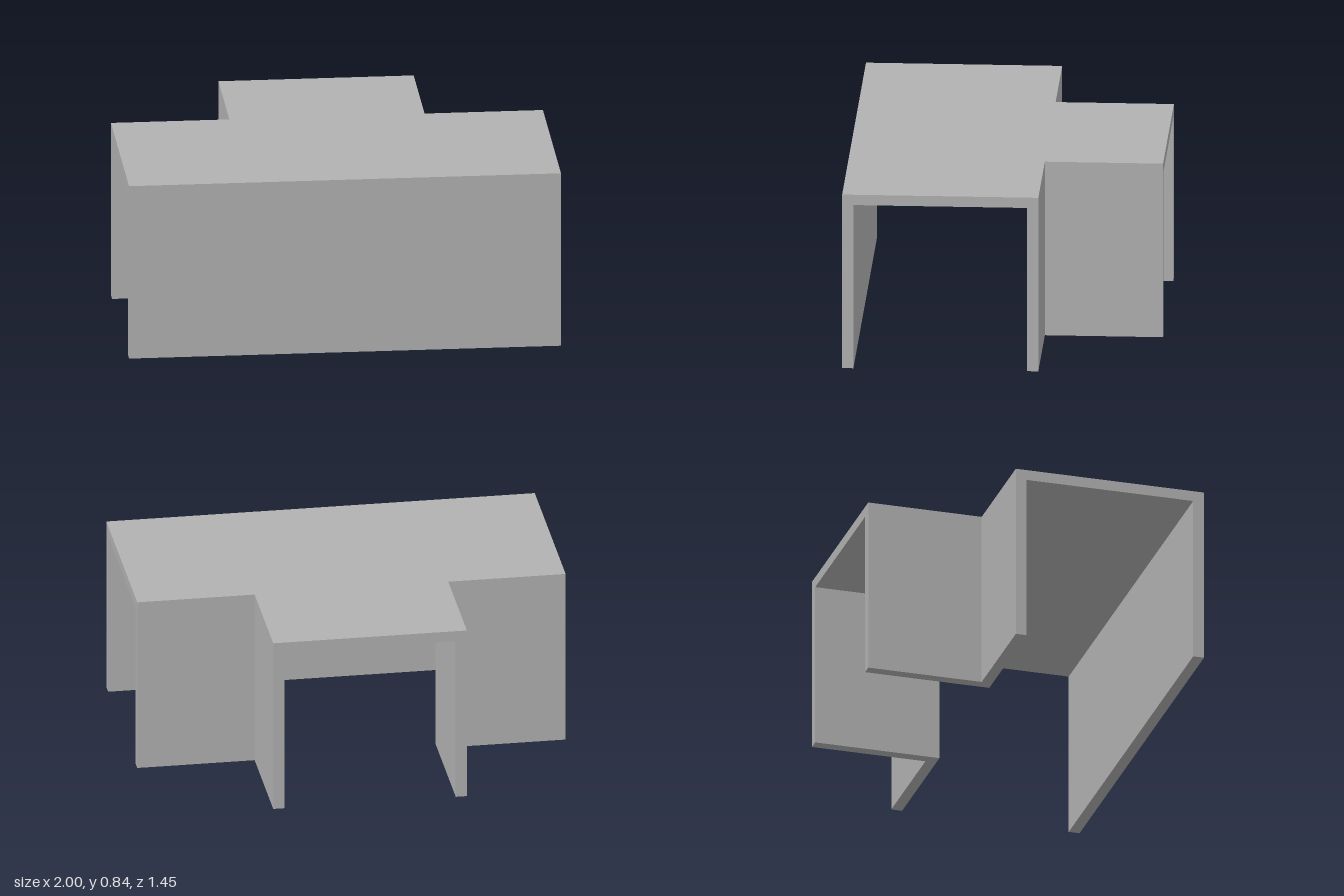
import * as THREE from 'three';

const HEIGHT = 0.84, UNDERSIDE = 0.79, WALL = 0.052;
const FRONT = 0.726, STEP = -0.18, BACK = -0.726, STEM = 0.452;

// Raises a floor-plan outline of [x, z] points from y0 to y1
function raisePlan(points, y0, y1) {
  const shape = new THREE.Shape(points.map(([x, z]) => new THREE.Vector2(x, -z)));
  const geometry = new THREE.ExtrudeGeometry(shape, { depth: y1 - y0, bevelEnabled: false });
  return geometry.rotateX(-Math.PI / 2).translate(0, y0, 0);
}

export function createModel() {
  const group = new THREE.Group();
  group.name = 'teeJunctionCover';
  const grey = new THREE.MeshStandardMaterial({ color: 0xb2b2b2 });
  grey.name = 'grey';

  const add = (name, points, y0, y1) => {
    const mesh = new THREE.Mesh(raisePlan(points, y0, y1), grey);
    mesh.name = name;
    group.add(mesh);
  };

  // T-shaped top plate
  add('topPlate', [
    [-1, FRONT], [1, FRONT], [1, STEP], [STEM, STEP],
    [STEM, BACK], [-STEM, BACK], [-STEM, STEP], [-1, STEP],
  ], UNDERSIDE, HEIGHT);

  // Long straight wall along the front
  add('frontWall', [
    [-1, FRONT], [1, FRONT], [1, FRONT - WALL], [-1, FRONT - WALL],
  ], 0, UNDERSIDE);

  // L-shaped corner walls either side of the rear branch
  for (const [name, s] of [['leftCornerWall', 1], ['rightCornerWall', -1]]) {
    add(name, [
      [s, STEP], [s * STEM, STEP], [s * STEM, BACK], [s * (STEM - WALL), BACK],
      [s * (STEM - WALL), STEP + WALL], [s, STEP + WALL],
    ], 0, UNDERSIDE);
  }
  return group;
}
